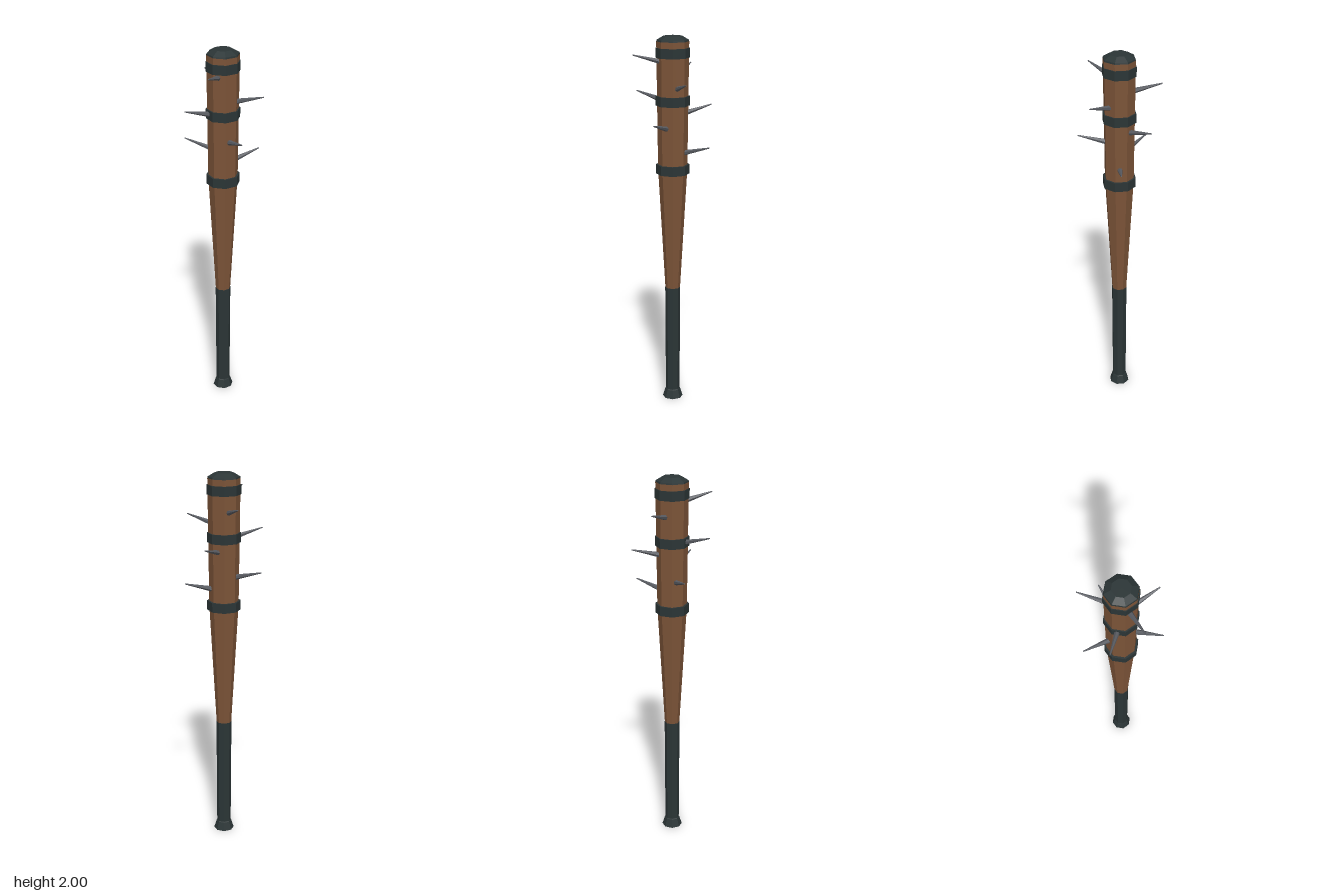
import * as THREE from 'three';

const mat = (name, color) => {
  const m = new THREE.MeshStandardMaterial({ color, flatShading: true });
  m.name = name;
  return m;
};

export function createModel() {
  const bat = new THREE.Group();
  bat.name = 'spikedBat';
  const wood = mat('brown wood', 0x7c5438);
  const dark = mat('dark iron', 0x2b3536);
  const steel = mat('grey steel', 0x5a5d63);

  // Eight-sided body of revolution from [radius, height] points
  const turned = (name, points, material) => {
    const profile = points.map(([r, y]) => new THREE.Vector2(r, y));
    const mesh = new THREE.Mesh(new THREE.LatheGeometry(profile, 8).toNonIndexed(), material);
    mesh.geometry.computeVertexNormals();
    mesh.name = name;
    bat.add(mesh);
  };

  // Grip with flared knob, wooden barrel, bevelled end cap
  turned('grip', [[0, 0], [0.055, 0], [0.041, 0.045], [0.038, 0.05], [0.041, 0.65], [0, 0.65]], dark);
  turned('barrel', [[0, 0.65], [0.04, 0.65], [0.077, 1.31], [0.084, 1.972], [0, 1.972]], wood);
  turned('endCap', [[0, 1.972], [0.084, 1.972], [0.082, 1.98], [0.048, 2], [0, 2]], dark);

  // Metal bands around the barrel
  for (const y of [1.31, 1.67, 1.915]) {
    const band = new THREE.Mesh(new THREE.CylinderGeometry(0.088, 0.088, 0.05, 8), dark);
    band.name = 'band';
    band.position.y = y;
    bat.add(band);
  }

  // Spikes given by their tips; each rises slightly outwards from inside the barrel
  const tips = [
    [0.2, 1.44, -0.064], [0.187, 1.775, 0.098], [0.062, 1.57, 0.201], [-0.099, 1.91, 0.187],
    [-0.202, 1.708, 0.062], [-0.187, 1.505, -0.1], [-0.063, 1.843, -0.203], [0.098, 1.64, -0.189],
  ];
  const up = new THREE.Vector3(0, 1, 0);
  for (const t of tips) {
    const tip = new THREE.Vector3(...t);
    const root = new THREE.Vector3(t[0] * 0.3, t[1] - 0.039, t[2] * 0.3);
    const axis = tip.clone().sub(root);
    const spike = new THREE.Mesh(new THREE.CylinderGeometry(0.003, 0.0145, axis.length(), 6), steel);
    spike.name = 'spike';
    spike.position.copy(root).add(tip).multiplyScalar(0.5);
    spike.quaternion.setFromUnitVectors(up, axis.normalize());
    bat.add(spike);
  }
  return bat;
}
